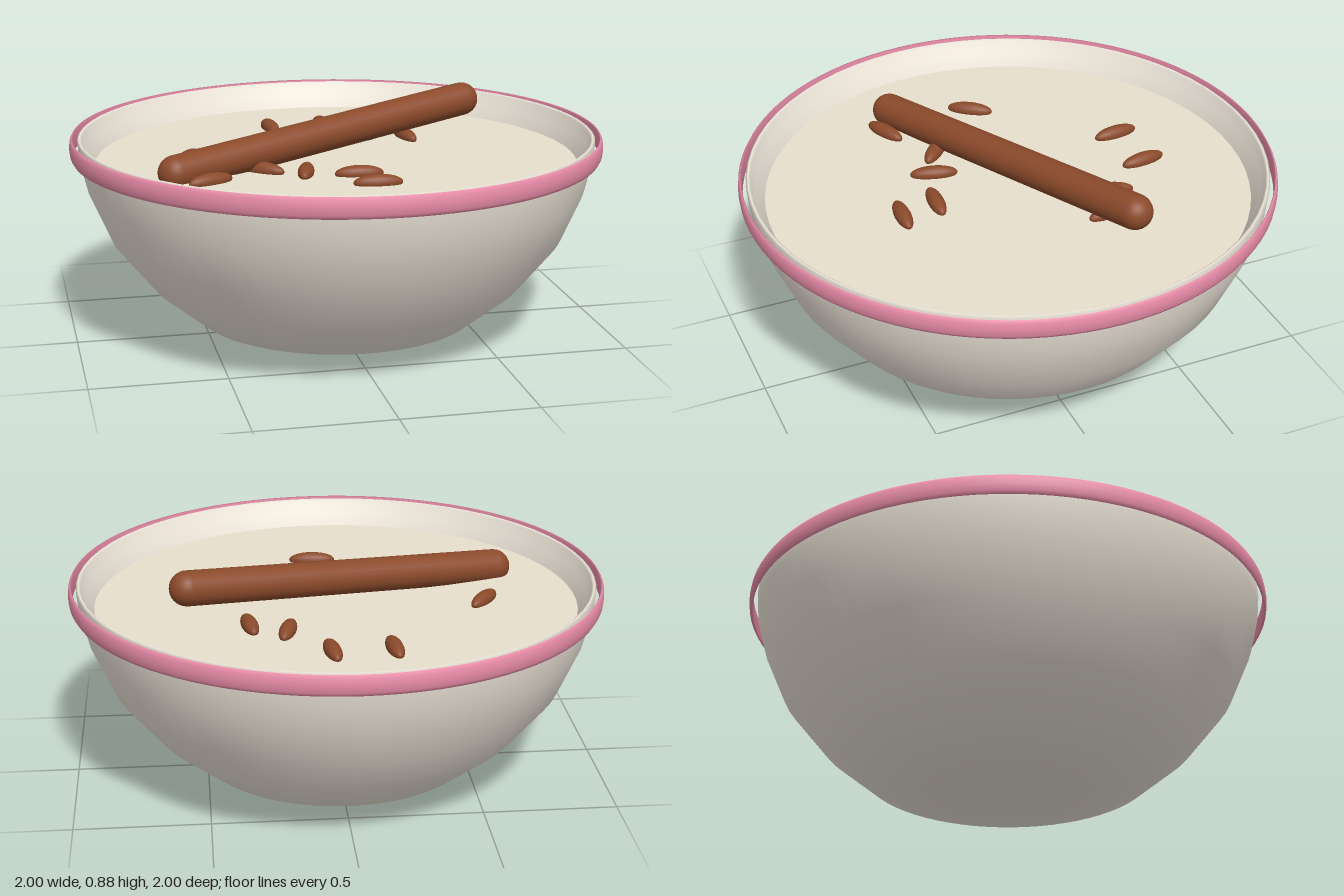
import * as THREE from 'three';

const mat = (color) => new THREE.MeshStandardMaterial({ color });

function add(group, name, geometry, material) {
  const mesh = new THREE.Mesh(geometry, material);
  mesh.name = name;
  group.add(mesh);
  return mesh;
}

export function createModel() {
  const group = new THREE.Group();
  const cream = mat(0xf0e8dc);
  const pink = mat(0xe88ca8);
  const milk = mat(0xe8dfcc);
  const brown = mat(0x8b4a2b);

  // Bowl: outer wall from the foot up, over the lip, and down the inside
  const profile = [
    [0, 0], [0.2, 0.005], [0.375, 0.016], [0.54, 0.07], [0.71, 0.21], [0.855, 0.39],
    [0.935, 0.575], [0.965, 0.7], [0.97, 0.765], [0.962, 0.772], [0.953, 0.765],
    [0.94, 0.72], [0.905, 0.66], [0.87, 0.53], [0.79, 0.37], [0.65, 0.2],
    [0.5, 0.1], [0.35, 0.05], [0, 0.04],
  ].map(([r, y]) => new THREE.Vector2(r, y));
  add(group, 'bowl', new THREE.LatheGeometry(profile, 64), cream);

  // Thin upright band standing just clear of the lip
  const bandShape = [
    [0.986, 0.704], [0.99, 0.699], [0.997, 0.712], [1, 0.737], [0.997, 0.762],
    [0.99, 0.775], [0.986, 0.77], [0.984, 0.737], [0.986, 0.704],
  ].map(([r, y]) => new THREE.Vector2(r, y));
  add(group, 'rimBand', new THREE.LatheGeometry(bandShape, 96), pink);

  // Liquid surface
  const liquid = add(group, 'liquid', new THREE.CircleGeometry(0.907, 64), milk);
  liquid.rotation.x = -Math.PI / 2;
  liquid.position.y = 0.67;

  // Round-ended stick resting at a slope
  const low = new THREE.Vector3(-0.64, 0.7, 0.24);
  const high = new THREE.Vector3(0.56, 0.82, -0.245);
  const axis = high.clone().sub(low);
  const stick = add(group, 'stick', new THREE.CapsuleGeometry(0.065, axis.length(), 10, 24), brown);
  stick.position.copy(low).add(high).multiplyScalar(0.5);
  stick.quaternion.setFromUnitVectors(new THREE.Vector3(0, 1, 0), axis.normalize());

  // Floating seeds: centre x, z and direction x, z
  const seeds = [
    [-0.16, -0.525, 0.1, 1], [0.06, -0.535, 0.13, 1], [0.203, -0.325, -0.25, 1],
    [0.338, -0.262, 0.16, 1], [-0.553, -0.07, 0.7, -1], [-0.523, 0.3, 1, -0.45],
    [-0.312, 0.172, 0.75, 0.65], [-0.163, 0.235, -0.27, 1],
    [0.022, 0.298, 1, 0.07], [0.058, 0.442, 1, 0.06],
  ];
  const seedGeometry = new THREE.SphereGeometry(1, 20, 14);
  seedGeometry.rotateZ(Math.PI / 2);
  seedGeometry.scale(0.09, 0.03, 0.03);
  seeds.forEach(([x, z, dx, dz], i) => {
    const seed = add(group, `seed${i + 1}`, seedGeometry, brown);
    seed.position.set(x, 0.678, z);
    seed.rotation.y = Math.atan2(-dz, dx);
  });

  return group;
}
